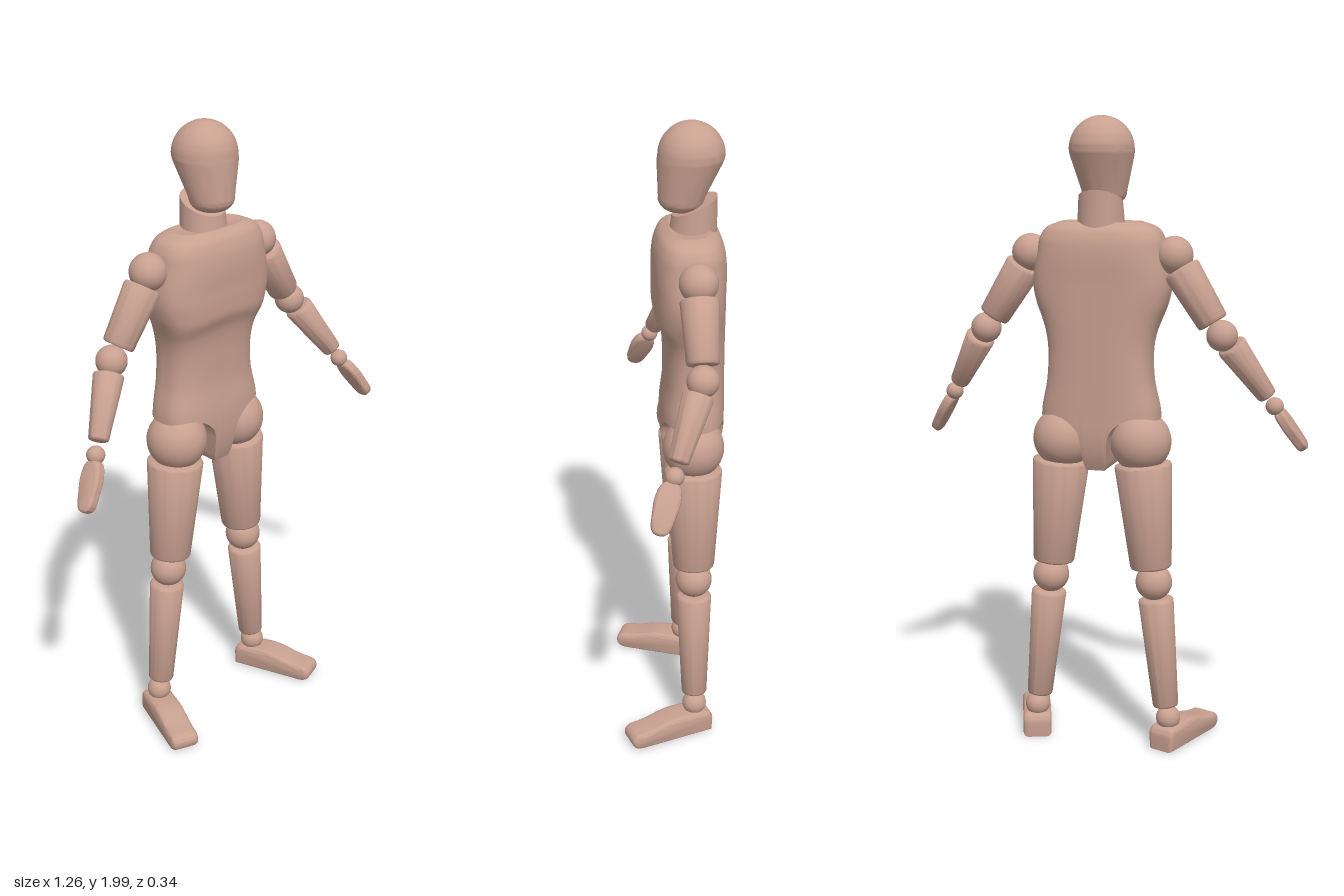
import * as THREE from 'three';
import { toCreasedNormals } from 'three/addons/utils/BufferGeometryUtils.js';

const wood = new THREE.MeshStandardMaterial({ color: 0xc8a090 });
const V = (x, y, z) => new THREE.Vector3(x, y, z);
const UP = V(0, 1, 0);
const Z = -0.065; // depth of the body's axis

function part(parent, name, geometry) {
  const mesh = new THREE.Mesh(geometry, wood);
  mesh.name = name;
  parent.add(mesh);
  return mesh;
}

function ball(parent, name, p, r) {
  part(parent, name, new THREE.SphereGeometry(r, 32, 24)).position.copy(p);
}

// Tapered peg from a to b with softly rounded rims
function peg(parent, name, a, b, ra, rb) {
  const len = a.distanceTo(b), e = 0.008;
  const pts = [[0, 0], [ra - e, 0], [ra - e * 0.3, e * 0.3], [ra, e],
    [rb, len - e], [rb - e * 0.3, len - e * 0.3], [rb - e, len], [0, len]];
  const geo = new THREE.LatheGeometry(pts.map(([r, y]) => new THREE.Vector2(r, y)), 40);
  const mesh = part(parent, name, toCreasedNormals(geo, 0.9));
  mesh.position.copy(a);
  mesh.quaternion.setFromUnitVectors(UP, b.clone().sub(a).normalize());
}

// Head: sphere tapering to a rounded jaw that leans forward
function headGeometry() {
  const pts = [];
  for (let i = 0; i <= 10; i++) { // jaw
    const a = (i / 10) * Math.PI / 2;
    pts.push(new THREE.Vector2(0.07 * Math.pow(Math.sin(a), 0.7), -0.125 - 0.045 * Math.cos(a)));
  }
  for (let i = 0; i <= 24; i++) { // skull
    const a = -0.2 + (i / 24) * (Math.PI / 2 + 0.2);
    pts.push(new THREE.Vector2(Math.max(0, 0.1 * Math.cos(a)), 0.1 * Math.sin(a)));
  }
  const geo = new THREE.LatheGeometry(pts, 48);
  const p = geo.attributes.position;
  for (let i = 0; i < p.count; i++) {
    p.setZ(i, p.getZ(i) + 0.03 * THREE.MathUtils.clamp(-p.getY(i) / 0.13, 0, 1));
  }
  return toCreasedNormals(geo, 1);
}

// Neck: short column with a top sloping down to the front
function neckGeometry() {
  const geo = new THREE.CylinderGeometry(0.068, 0.078, 0.15, 40);
  const p = geo.attributes.position;
  for (let i = 0; i < p.count; i++) {
    if (p.getY(i) > 0) {
      p.setY(i, 0.075 - 0.44 * p.getZ(i));
      p.setZ(i, p.getZ(i) - 0.01);
    }
  }
  return toCreasedNormals(geo, 0.7);
}

// Torso: rounded sections [y, half width, front z, back z], arched over both hips
function torsoGeometry() {
  const rows = [
    [0.90, 0.187, 0.0, -0.13], [0.96, 0.187, 0.02, -0.155], [1.02, 0.187, 0.03, -0.166],
    [1.1, 0.187, 0.03, -0.167], [1.2, 0.168, 0.02, -0.167], [1.3, 0.165, 0.024, -0.167],
    [1.35, 0.174, 0.034, -0.167], [1.39, 0.188, 0.051, -0.167], [1.43, 0.204, 0.054, -0.167],
    [1.49, 0.216, 0.054, -0.167], [1.6, 0.2, 0.052, -0.167], [1.64, 0.191, 0.043, -0.159],
    [1.67, 0.165, 0.025, -0.14], [1.684, 0.125, 0, -0.115]];
  const section = new THREE.CubicInterpolant(
    new Float32Array(rows.map((r) => r[0])), new Float32Array(rows.flatMap((r) => r.slice(1))), 3);
  const bottom = (x) => {
    const a = Math.abs(x);
    const arch = 0.985 + Math.sqrt(Math.max(0, 0.105 ** 2 - (a - 0.14) ** 2));
    return THREE.MathUtils.lerp(0.92, arch, THREE.MathUtils.smoothstep(a, 0.03, 0.047));
  };
  const N = 160, upper = 48, lower = 16, last = upper + lower + 1;
  const pos = [], idx = [];
  for (let i = 0; i <= last; i++) {
    for (let j = 0; j < N; j++) {
      if (i === 0) { pos.push(0, 1.665, -0.06); continue; }
      const a = (j / N) * Math.PI * 2, c = Math.cos(a);
      const y = i <= upper
        ? THREE.MathUtils.lerp(1.684, 1.2, ((i - 1) / (upper - 1)) ** 1.4)
        : THREE.MathUtils.lerp(1.2, bottom(0.187 * c), (i - upper) / (lower + 1));
      const [w, , back] = section.evaluate(y);
      // the ledge below the chest rises in the middle
      const lift = 0.035 * (1 - c * c) * THREE.MathUtils.smoothstep(y, 1.22, 1.32)
        * (1 - THREE.MathUtils.smoothstep(y, 1.45, 1.58));
      const front = section.evaluate(y - lift)[1];
      const mid = (front + back) / 2, half = (front - back) / 2;
      const bulge = Math.pow(Math.max(0, 1 - Math.abs(c) ** 2.8), 1 / 2.8);
      pos.push(w * c, y, mid + half * bulge * (j <= N / 2 ? 1 : -1));
    }
  }
  for (let i = 0; i < last; i++) {
    for (let j = 0; j < N; j++) {
      const k = (j + 1) % N, a = i * N + j, b = i * N + k;
      if (i > 0) idx.push(a, b, a + N);
      idx.push(b, b + N, a + N);
    }
  }
  // underside joining the front and back rims
  const base = pos.length / 3;
  pos.push(...pos.slice(last * N * 3));
  for (let j = 0; j < N / 2; j++) {
    const f = base + j, k = base + ((N - j) % N), k1 = base + N - j - 1;
    idx.push(f, f + 1, k, f + 1, k1, k);
  }
  const geo = new THREE.BufferGeometry();
  geo.setAttribute('position', new THREE.Float32BufferAttribute(pos, 3));
  geo.setIndex(idx);
  geo.computeVertexNormals();
  return geo;
}

// Foot: side outline (length, height) extruded across with rounded edges
function footGeometry() {
  const s = new THREE.Shape();
  s.moveTo(-0.035, 0.017);
  s.lineTo(0.2, 0.017);
  s.quadraticCurveTo(0.222, 0.018, 0.222, 0.032);
  s.quadraticCurveTo(0.222, 0.045, 0.2, 0.046);
  s.bezierCurveTo(0.14, 0.05, 0.12, 0.068, 0.07, 0.07);
  s.lineTo(-0.025, 0.066);
  s.quadraticCurveTo(-0.037, 0.065, -0.037, 0.05);
  s.closePath();
  const geo = new THREE.ExtrudeGeometry(s, {
    depth: 0.06, bevelThickness: 0.016, bevelSize: 0.014, bevelSegments: 5, curveSegments: 10 });
  geo.translate(0, 0, -0.03);
  geo.rotateY(-Math.PI / 2);
  return toCreasedNormals(geo, 0.8);
}

// Hand: flat paddle, fingers along +y
function handGeometry() {
  const half = [[0.012, 0.012], [0.02, 0.02], [0.027, 0.055], [0.023, 0.1], [0.016, 0.138], [0.008, 0.145]];
  const outline = [...half, ...half.map(([x, y]) => [-x, y]).reverse()];
  const curve = new THREE.CatmullRomCurve3(outline.map(([x, y]) => V(x, y, 0)), true);
  const s = new THREE.Shape(curve.getPoints(60).slice(0, -1).map((p) => new THREE.Vector2(p.x, p.y)));
  const geo = new THREE.ExtrudeGeometry(s, {
    depth: 0.01, bevelThickness: 0.012, bevelSize: 0.011, bevelSegments: 5 });
  geo.translate(0, 0, -0.005);
  return toCreasedNormals(geo, 0.8);
}

function addArm(root, side, s) {
  const arm = new THREE.Group();
  arm.name = side + 'Arm';
  root.add(arm);
  const P = (x, y, z) => V(s * x, y, z);
  ball(arm, 'shoulderJoint', P(0.229, 1.585, -0.067), 0.058);
  peg(arm, 'upperArm', P(0.25, 1.545, -0.067), P(0.353, 1.383, -0.069), 0.058, 0.049);
  ball(arm, 'elbowJoint', P(0.38, 1.345, -0.067), 0.048);
  peg(arm, 'forearm', P(0.404, 1.315, -0.052), P(0.508, 1.153, 0.015), 0.047, 0.031);
  ball(arm, 'wristJoint', P(0.529, 1.12, 0.027), 0.028);
  const hand = part(arm, 'hand', handGeometry());
  hand.position.copy(P(0.537, 1.107, 0.034));
  const along = P(0.08, -0.125, 0.045).normalize();
  const across = V(0, 0, 1).addScaledVector(along, -along.z).normalize();
  const out = across.clone().cross(along);
  hand.quaternion.setFromRotationMatrix(new THREE.Matrix4().makeBasis(across, along, out));
}

function addLeg(root, side, s) {
  const leg = new THREE.Group();
  leg.name = side + 'Leg';
  root.add(leg);
  const P = (x, y, z = Z) => V(s * x, y, z);
  ball(leg, 'hipJoint', P(0.126, 1.005), 0.096);
  peg(leg, 'thigh', P(0.134, 0.935), P(0.162, 0.6), 0.09, 0.066);
  ball(leg, 'kneeJoint', P(0.171, 0.553), 0.058);
  peg(leg, 'shin', P(0.178, 0.5), P(0.213, 0.143), 0.056, 0.041);
  ball(leg, 'ankleJoint', P(0.221, 0.105), 0.039);
  const foot = part(leg, 'foot', footGeometry());
  foot.position.copy(P(0.223, 0.003));
  foot.rotation.y = s * 0.345;
}

export function createModel() {
  const root = new THREE.Group();
  root.name = 'jointedFigure';
  part(root, 'head', headGeometry()).position.set(0, 1.9, Z);
  part(root, 'neck', neckGeometry()).position.set(0, 1.675, Z);
  part(root, 'torso', torsoGeometry());
  for (const [side, s] of [['left', 1], ['right', -1]]) {
    addArm(root, side, s);
    addLeg(root, side, s);
  }
  return root;
}
